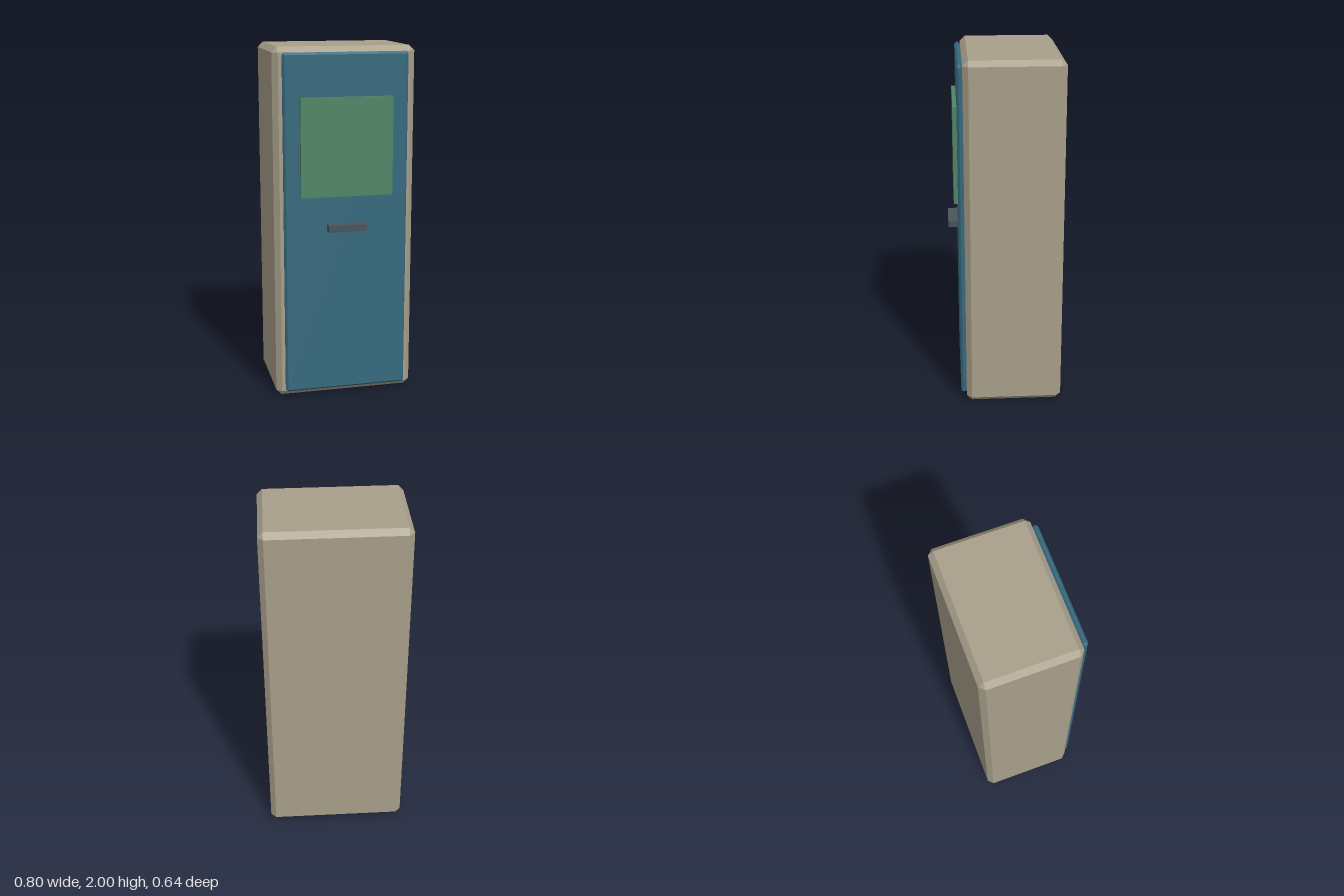
import * as THREE from 'three';
import { ConvexGeometry } from 'three/addons/geometries/ConvexGeometry.js';

// Box with every edge cut by a flat chamfer c
function chamferBox(w, h, d, c) {
  const half = [w / 2, h / 2, d / 2];
  const points = [];
  for (const sx of [-1, 1]) for (const sy of [-1, 1]) for (const sz of [-1, 1]) {
    for (let face = 0; face < 3; face++) {
      const p = half.map((v, axis) => (axis === face ? v : v - c));
      points.push(new THREE.Vector3(sx * p[0], sy * p[1], sz * p[2]));
    }
  }
  return new ConvexGeometry(points);
}

export function createModel() {
  const group = new THREE.Group();

  // Places a part centred on x, spanning y0..y1 and z0..z1
  function addPart(name, color, width, [y0, y1], [z0, z1], chamfer = 0) {
    const h = y1 - y0, d = z1 - z0;
    const geometry = chamfer ? chamferBox(width, h, d, chamfer) : new THREE.BoxGeometry(width, h, d);
    const material = new THREE.MeshStandardMaterial({ color, flatShading: true });
    const mesh = new THREE.Mesh(geometry, material);
    mesh.name = name;
    mesh.position.set(0, (y0 + y1) / 2, (z0 + z1) / 2);
    group.add(mesh);
  }

  // Cabinet shell
  addPart('cabinet', 0xa89f8a, 0.8, [0, 2], [-0.318, 0.23], 0.03);
  // Front door panel
  addPart('door', 0x376a7e, 0.704, [0.035, 1.97], [0.23, 0.262], 0.012);
  // Window on the upper door
  addPart('window', 0x508566, 0.52, [1.18, 1.73], [0.262, 0.285]);
  // Handle below the window
  addPart('handle', 0x48545c, 0.22, [0.985, 1.023], [0.262, 0.318]);

  return group;
}
